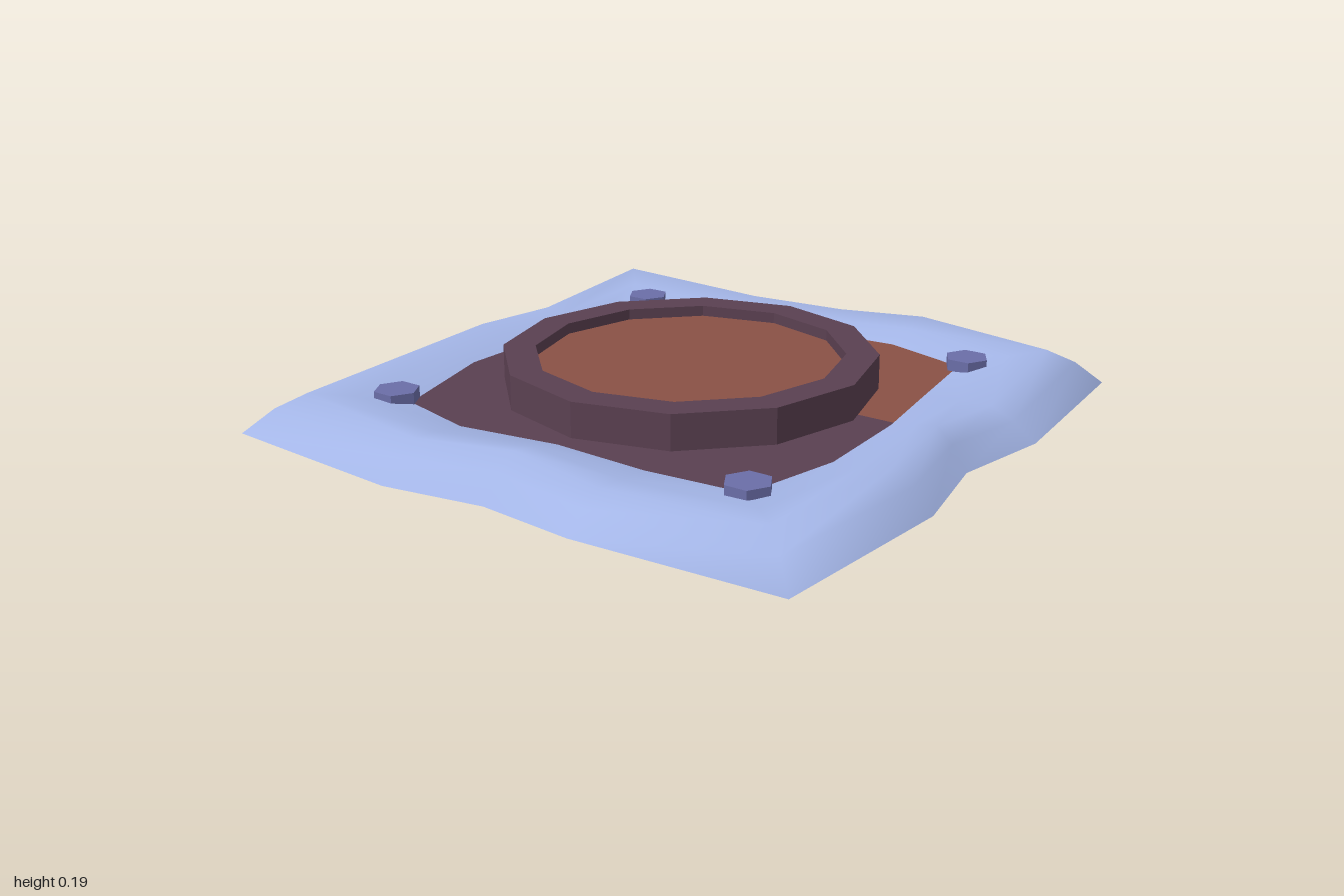
import * as THREE from 'three';

const CX = -0.01, CZ = 0.03; // centre of the hatch
const PLATE_TOP = 0.085;

const mat = (name, color, side = THREE.FrontSide) => {
  const m = new THREE.MeshStandardMaterial({ color, side });
  m.name = name;
  return m;
};

// Hard-edged copy of a geometry
function faceted(geometry) {
  const g = geometry.index ? geometry.toNonIndexed() : geometry;
  g.computeVertexNormals();
  return g;
}

function add(parent, name, geometry, material, x = 0, y = 0, z = 0) {
  const mesh = new THREE.Mesh(geometry, material);
  mesh.name = name;
  mesh.position.set(x, y, z);
  parent.add(mesh);
  return mesh;
}

// Uneven snow bank: rings run from the outer foot, over a crest, to below the plate
function snowGeometry() {
  // outer foot and inner edge, clockwise from the back corner on -x
  const outer = [
    [-0.93, -0.89], [-0.31, -0.945], [-0.01, -0.93], [0.29, -1.0],
    [0.91, -0.89], [0.96, -0.28], [0.9, 0.03], [0.96, 0.34],
    [0.91, 0.945], [0.29, 0.975], [-0.01, 0.945], [-0.32, 0.995],
    [-0.93, 0.945], [-0.965, 0.34], [-0.965, 0.03], [-0.93, -0.28],
  ];
  const inner = [
    [-0.64, -0.55], [-0.31, -0.53], [0.05, -0.63], [0.3, -0.65],
    [0.57, -0.57], [0.61, -0.28], [0.65, 0.0], [0.66, 0.33],
    [0.59, 0.635], [0.29, 0.66], [-0.01, 0.645], [-0.32, 0.69],
    [-0.57, 0.625], [-0.67, 0.25], [-0.66, 0.0], [-0.67, -0.3],
  ];
  const crest = [
    0.14, 0.115, 0.115, 0.125, 0.125, 0.095, 0.12, 0.115,
    0.115, 0.1, 0.125, 0.108, 0.125, 0.11, 0.12, 0.105,
  ];
  // each ring: how far inward, and its height from the crest height
  const rings = [
    [0, () => 0.01],
    [0.2, (h) => 0.01 + (h - 0.01) * 0.62],
    [0.4, (h) => h],
    [0.68, (h) => h + (PLATE_TOP - h) * 0.4],
    [1, () => PLATE_TOP],
    [1.15, () => 0.06],
  ];
  const n = outer.length, pos = [], idx = [];
  rings.forEach(([t, height], r) => {
    for (let i = 0; i < n; i++) {
      pos.push(
        THREE.MathUtils.lerp(outer[i][0], inner[i][0], t),
        height(crest[i]),
        THREE.MathUtils.lerp(outer[i][1], inner[i][1], t),
      );
      if (r === 0) continue;
      const j = (i + 1) % n;
      const a = (r - 1) * n + i, b = (r - 1) * n + j, c = r * n + i, d = r * n + j;
      idx.push(a, c, b, b, c, d);
    }
  });
  const g = new THREE.BufferGeometry();
  g.setAttribute('position', new THREE.Float32BufferAttribute(pos, 3));
  g.setIndex(idx);
  g.computeVertexNormals();
  return g;
}

export function createModel() {
  const snow = mat('snow blue', 0xa6b8ea, THREE.DoubleSide);
  const rust = mat('rust brown', 0x8a5145);
  const plum = mat('dark plum', 0x5a4051);
  const steel = mat('bolt violet', 0x6b6ea8);

  const model = new THREE.Group();
  model.name = 'snowyHatch';

  add(model, 'snowBank', snowGeometry(), snow);

  // Base plate in two halves
  const half = 0.76, split = -0.02, bottom = 0.006;
  const slab = (name, z0, z1, material) => add(model, name,
    new THREE.BoxGeometry(half * 2, PLATE_TOP - bottom, z1 - z0), material,
    CX, (PLATE_TOP + bottom) / 2, (z0 + z1) / 2);
  slab('backPlate', CZ - half, split, rust);
  slab('frontPlate', split, CZ + half, plum);

  // Twelve-sided raised rim with a closed bottom
  const profile = [[0, 0], [0.557, 0], [0.557, 0.19], [0.46, 0.19], [0.46, 0.15]]
    .map(([x, y]) => new THREE.Vector2(x, y));
  add(model, 'rim', faceted(new THREE.LatheGeometry(profile, 12)), plum, CX, 0, CZ);

  // Recessed lid
  add(model, 'lid', faceted(new THREE.CylinderGeometry(0.46, 0.46, 0.02, 12)), rust, CX, 0.147, CZ);

  // Hexagonal corner bolts
  const bolt = faceted(new THREE.CylinderGeometry(0.067, 0.067, 0.06, 6));
  for (const sx of [-1, 1]) {
    for (const sz of [-1, 1]) {
      const b = add(model, 'bolt', bolt, steel, CX + sx * 0.605, 0.09, CZ + sz * 0.605);
      b.rotation.y = Math.PI / 6;
    }
  }
  return model;
}
